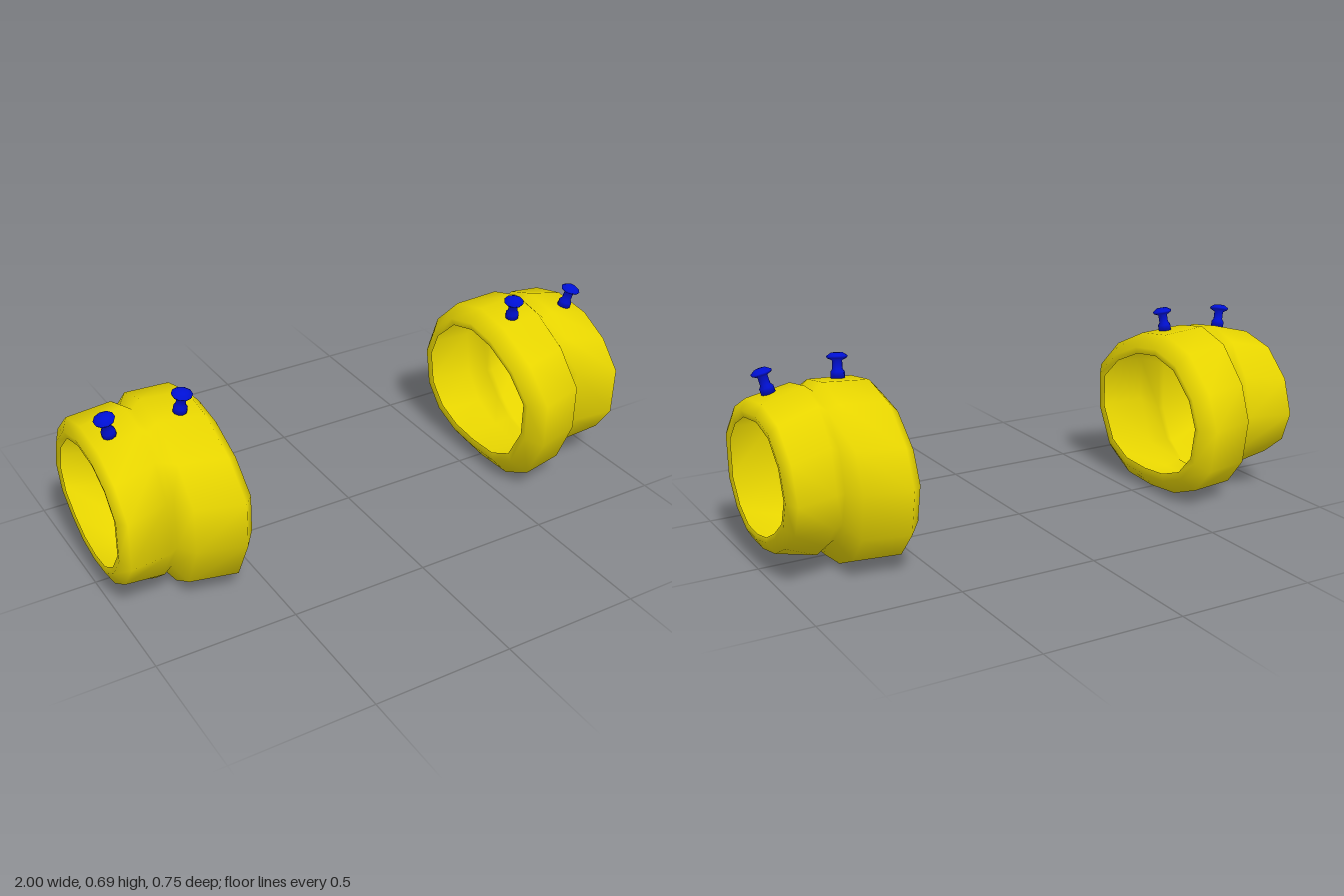
import * as THREE from 'three';

const yellow = new THREE.MeshStandardMaterial({ color: 0xe6d400, side: THREE.DoubleSide });
const blue = new THREE.MeshStandardMaterial({ color: 0x0010d4 });

// Uneven 14-sided outlines of the two halves, as [z, y] in -1..1
const NARROW = [
  [1, 0.33], [0.73, 0.7], [0.36, 0.93], [-0.13, 1], [-0.55, 0.87], [-0.87, 0.49], [-1, 0],
  [-0.88, -0.42], [-0.58, -0.71], [-0.27, -0.91], [0.09, -1], [0.44, -0.98], [0.75, -0.75], [0.98, -0.35],
];
const WIDE = [
  [1, 0.31], [0.69, 0.68], [0.26, 0.93], [-0.13, 1], [-0.52, 0.87], [-0.86, 0.47], [-1, 0.05],
  [-0.93, -0.47], [-0.7, -0.79], [-0.36, -0.955], [0.03, -1], [0.44, -0.975], [0.77, -0.76], [0.99, -0.23],
];

// Rings of the thin shell, from the wide opening out to the narrow one
// [outline, x, zBack, zFront, yBottom, yTop]
const RINGS = [
  // rim of the wide half, turned inwards
  [WIDE, 0.56, -0.3, 0.29, 0.082, 0.535],
  [WIDE, 0.556, -0.328, 0.318, 0.055, 0.56],
  // wide half
  [WIDE, 0.6, -0.377, 0.377, 0.002, 0.611],
  [WIDE, 0.765, -0.35, 0.335, 0.005, 0.625],
  // groove between the halves
  [NARROW, 0.795, -0.277, 0.252, 0.042, 0.597],
  // narrow half
  [NARROW, 0.825, -0.283, 0.262, 0.018, 0.62],
  [NARROW, 0.975, -0.335, 0.304, 0.065, 0.582],
  // rim of the narrow half, turned inwards
  [NARROW, 0.998, -0.285, 0.258, 0.105, 0.545],
  [NARROW, 0.992, -0.255, 0.231, 0.122, 0.522],
];

// Skins the rings with smooth normals; side mirrors across x
function createShell(side) {
  const n = WIDE.length, pos = [], index = [];
  for (const [outline, x, z0, z1, y0, y1] of RINGS) {
    for (const [u, v] of outline) {
      pos.push(side * x, (y0 + y1) / 2 + v * (y1 - y0) / 2, (z0 + z1) / 2 + u * (z1 - z0) / 2);
    }
  }
  for (let i = 0; i < RINGS.length - 1; i++) {
    for (let j = 0; j < n; j++) {
      const k = (j + 1) % n;
      const a = i * n + j, b = a + n, c = i * n + k, d = c + n;
      if (side > 0) index.push(a, b, c, c, b, d);
      else index.push(a, c, b, c, d, b);
    }
  }
  const g = new THREE.BufferGeometry();
  g.setAttribute('position', new THREE.Float32BufferAttribute(pos, 3));
  g.setIndex(index);
  g.computeVertexNormals();
  return g;
}

// Stud with a mushroom cap, [radius, height]; its foot pierces the shell
const STUD = [
  [0, 0], [0.024, 0], [0.024, 0.022], [0.017, 0.032], [0.017, 0.06],
  [0.033, 0.068], [0.036, 0.075], [0.02, 0.086], [0, 0.088],
].map(([r, y]) => new THREE.Vector2(r, y));

function addStud(parent, name, base, dir) {
  const stud = new THREE.Mesh(new THREE.LatheGeometry(STUD, 10), blue);
  stud.name = name;
  stud.position.copy(base);
  stud.quaternion.setFromUnitVectors(new THREE.Vector3(0, 1, 0), dir.normalize());
  parent.add(stud);
}

function createCuff(side) {
  const cuff = new THREE.Group();
  cuff.name = side > 0 ? 'leftCuff' : 'rightCuff';
  const band = new THREE.Mesh(createShell(side), yellow);
  band.name = 'band';
  cuff.add(band);
  const v = (x, y, z) => new THREE.Vector3(side * x, y, z);
  addStud(cuff, 'outerStud', v(0.914, 0.584, 0.046), v(0.24, 1, 0.18));
  addStud(cuff, 'innerStud', v(0.669, 0.6, 0.05), v(-0.08, 1, 0.2));
  return cuff;
}

export function createModel() {
  const model = new THREE.Group();
  model.name = 'cuffPair';
  model.add(createCuff(1), createCuff(-1));
  return model;
}
